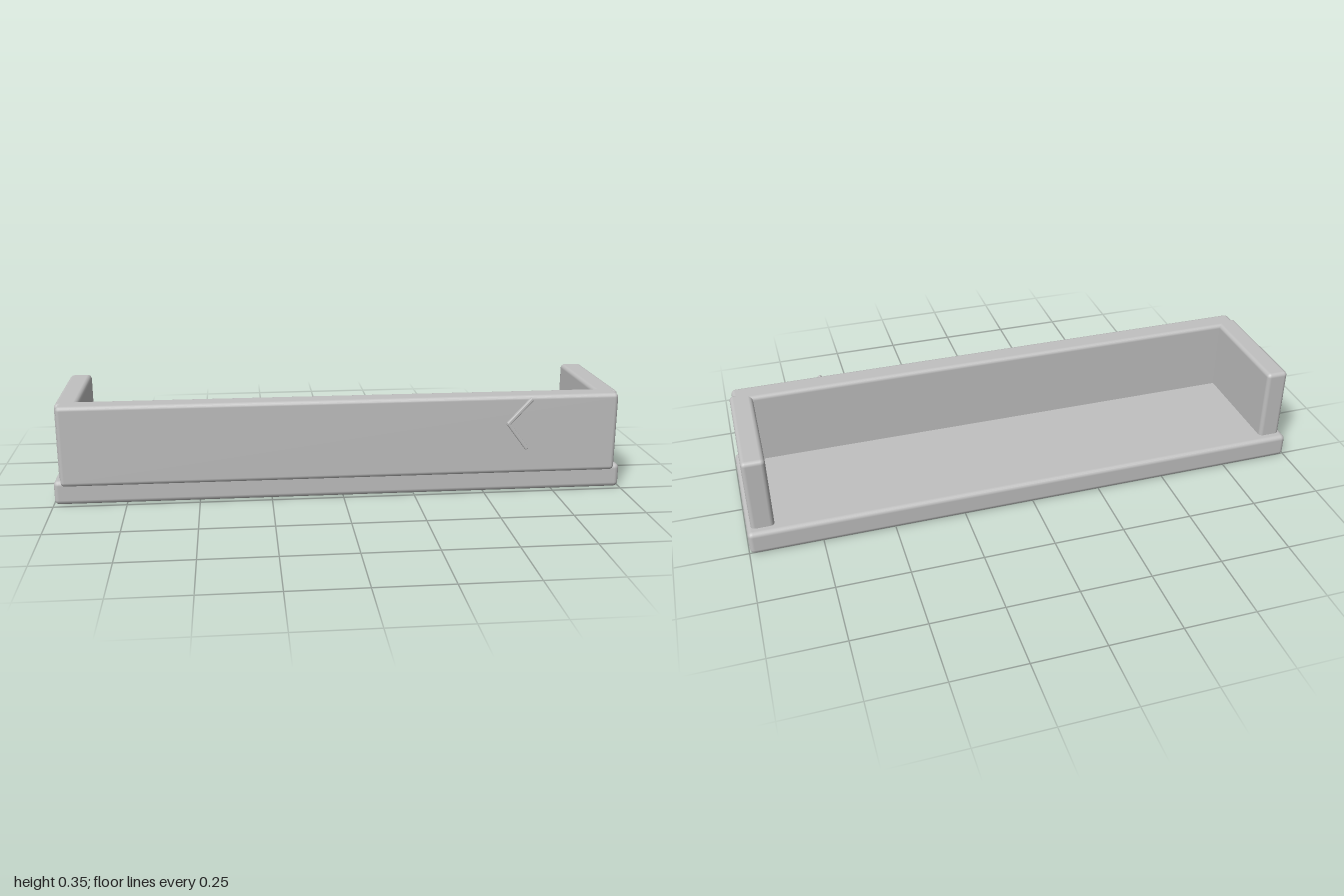
import * as THREE from 'three';
import { RoundedBoxGeometry } from 'three/addons/geometries/RoundedBoxGeometry.js';

export function createModel() {
  const model = new THREE.Group();
  model.name = 'openTray';
  const grey = new THREE.MeshStandardMaterial({ color: 0xc0c0c0 });
  grey.name = 'plain grey';

  // Bevelled block given by its lowest and highest corners
  function block(name, min, max, radius) {
    const [w, h, d] = max.map((v, i) => v - min[i]);
    const mesh = new THREE.Mesh(new RoundedBoxGeometry(w, h, d, 2, radius), grey);
    mesh.position.set(...max.map((v, i) => (v + min[i]) / 2));
    mesh.name = name;
    model.add(mesh);
    return mesh;
  }

  // Base slab and front panel
  block('base', [-0.997, 0.002, -0.262], [0.997, 0.088, 0.236], 0.017);
  block('frontPanel', [-0.972, 0.07, 0.166], [0.972, 0.353, 0.248], 0.015);

  // Side walls, mirrored
  block('leftWall', [0.903, 0.07, -0.232], [0.982, 0.353, 0.206], 0.015);
  block('rightWall', [-0.982, 0.07, -0.232], [-0.903, 0.353, 0.206], 0.015);

  // Thin arrow-shaped handle made of two slanted bars on the front
  const points = [[0.656, 0.342], [0.577, 0.256], [0.644, 0.166]];
  for (let i = 0; i < 2; i++) {
    const [ax, ay] = points[i];
    const [bx, by] = points[i + 1];
    const length = Math.hypot(bx - ax, by - ay) + 0.008;
    const bar = new THREE.Mesh(new RoundedBoxGeometry(length, 0.013, 0.015, 2, 0.004), grey);
    bar.position.set((ax + bx) / 2, (ay + by) / 2, 0.2555);
    bar.rotation.z = Math.atan2(by - ay, bx - ax);
    bar.name = i === 0 ? 'upperHandleBar' : 'lowerHandleBar';
    model.add(bar);
  }

  return model;
}
